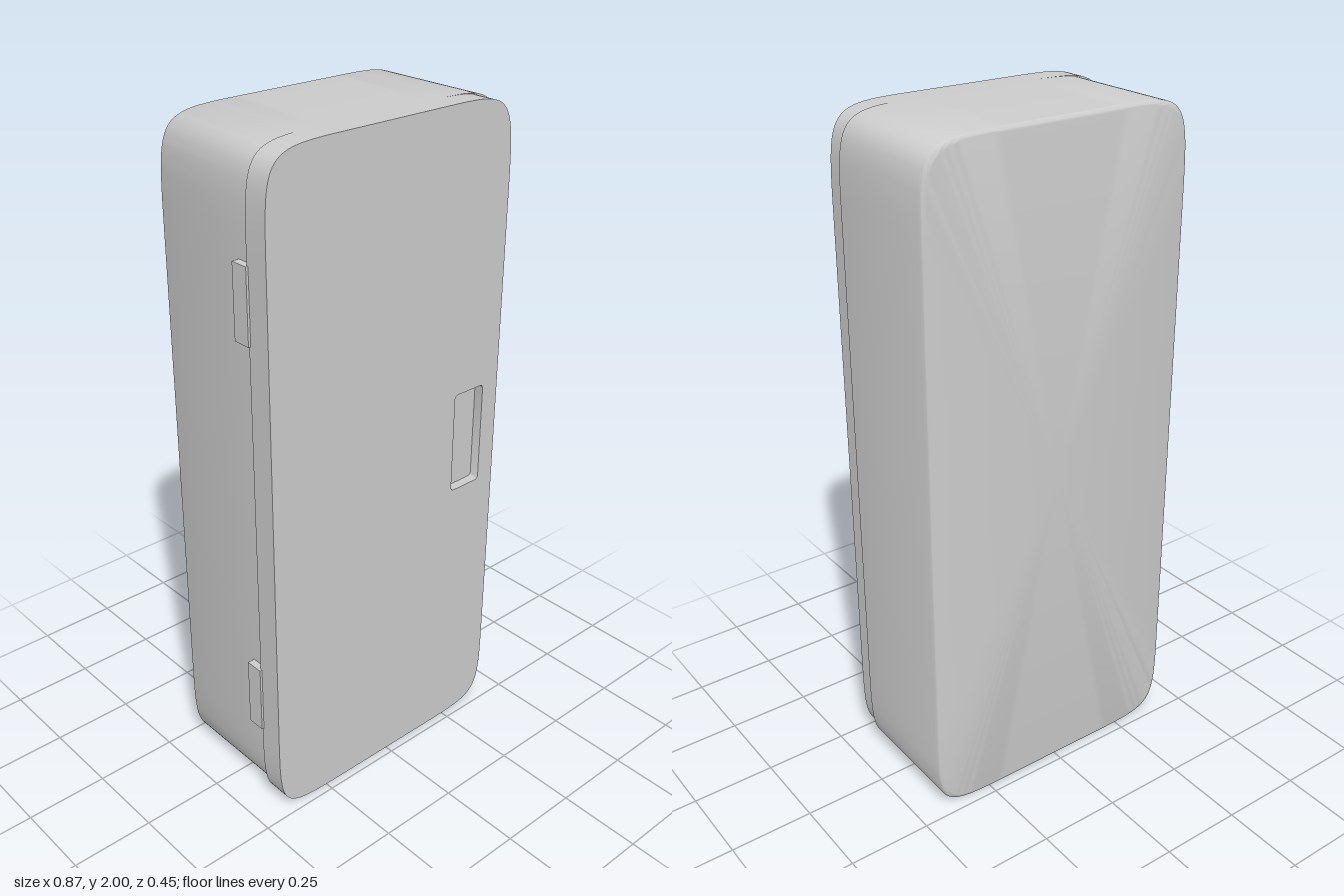
import * as THREE from 'three';
import { toCreasedNormals } from 'three/addons/utils/BufferGeometryUtils.js';

const W = 0.425, H = 1; // half width and half height of the shell

// Soft-cornered outline, centred on the origin, counter-clockwise
function softOutline() {
  const a = 0.26, b = 0.29; // how far each corner's curve runs along x and y
  const s = new THREE.Shape();
  s.moveTo(-W + a, -H);
  s.lineTo(W - a, -H);
  s.bezierCurveTo(W, -H, W, -H, W, -H + b);
  s.lineTo(W, H - b);
  s.bezierCurveTo(W, H, W, H, W - a, H);
  s.lineTo(-W + a, H);
  s.bezierCurveTo(-W, H, -W, H, -W, H - b);
  s.lineTo(-W, -H + b);
  s.bezierCurveTo(-W, -H, -W, -H, -W + a, -H);
  return s;
}

function roundedRect(x0, y0, x1, y1, r) {
  const p = new THREE.Path();
  p.absarc(x1 - r, y1 - r, r, 0, Math.PI / 2);
  p.absarc(x0 + r, y1 - r, r, Math.PI / 2, Math.PI);
  p.absarc(x0 + r, y0 + r, r, Math.PI, Math.PI * 1.5);
  p.absarc(x1 - r, y0 + r, r, Math.PI * 1.5, Math.PI * 2);
  p.closePath();
  return p;
}

// Loft through rings of the outline, [z, inset] from back to front, closed at both ends
function loft(rings) {
  const pts = softOutline().getPoints(24);
  if (pts[0].distanceTo(pts[pts.length - 1]) < 1e-6) pts.pop();
  const n = pts.length, pos = [], idx = [];
  for (const [z, inset] of rings) {
    for (const p of pts) pos.push(p.x * (1 - inset / W), p.y * (1 - inset / H), z);
  }
  const back = rings.length * n, front = back + 1, last = (rings.length - 1) * n;
  pos.push(0, 0, rings[0][0], 0, 0, rings[rings.length - 1][0]);
  for (let i = 0; i < n; i++) {
    const j = (i + 1) % n;
    for (let r = 0; r < rings.length - 1; r++) {
      const a = r * n + i, b = r * n + j;
      idx.push(a, b, b + n, a, b + n, a + n);
    }
    idx.push(back, j, i, front, last + i, last + j);
  }
  const g = new THREE.BufferGeometry();
  g.setAttribute('position', new THREE.Float32BufferAttribute(pos, 3));
  g.setIndex(idx);
  return toCreasedNormals(g, 0.6);
}

export function createModel() {
  const model = new THREE.Group();
  model.name = 'cabinet';
  const grey = new THREE.MeshStandardMaterial({ color: 0xcccccc });
  const add = (name, geometry, x, y, z) => {
    const mesh = new THREE.Mesh(geometry, grey);
    mesh.name = name;
    mesh.position.set(x, y, z);
    model.add(mesh);
  };

  // Body with a filleted back edge
  const r = 0.014, rings = [];
  for (let i = 0; i <= 6; i++) {
    const t = (i / 6) * Math.PI / 2;
    rings.push([-0.225 + r * (1 - Math.sin(t)), r * (1 - Math.cos(t))]);
  }
  rings.reverse();
  // order the fillet from the back face forward
  rings.sort((p, q) => p[0] - q[0]);
  rings.forEach((ring) => { ring[1] = r - Math.sqrt(Math.max(0, r * r - (r - (ring[0] + 0.225)) ** 2)); });
  rings.push([0.155, 0]);
  add('body', loft(rings), 0.01, 1, 0);

  // Door, shifted slightly toward the hinges, with a handle opening
  const doorX = -0.005, doorBack = 0.15, doorFront = 0.225;
  const doorShape = softOutline();
  doorShape.holes.push(roundedRect(0.245 - doorX, -0.155, 0.36 - doorX, 0.16, 0.012));
  const door = new THREE.ExtrudeGeometry(doorShape, {
    depth: doorFront - doorBack, bevelEnabled: false, curveSegments: 24,
  });
  add('door', toCreasedNormals(door, 0.6), doorX, 1, doorBack);

  // Floor of the handle recess
  add('handleRecessFloor', new THREE.BoxGeometry(0.125, 0.325, 0.03), 0.3025, 1.0025, 0.18);

  // Hinges on the right side
  for (const [name, y] of [['upperHinge', 1.597], ['lowerHinge', 0.383]]) {
    add(name, new THREE.BoxGeometry(0.04, 0.212, 0.055), -0.417, y, 0.128);
  }
  return model;
}
